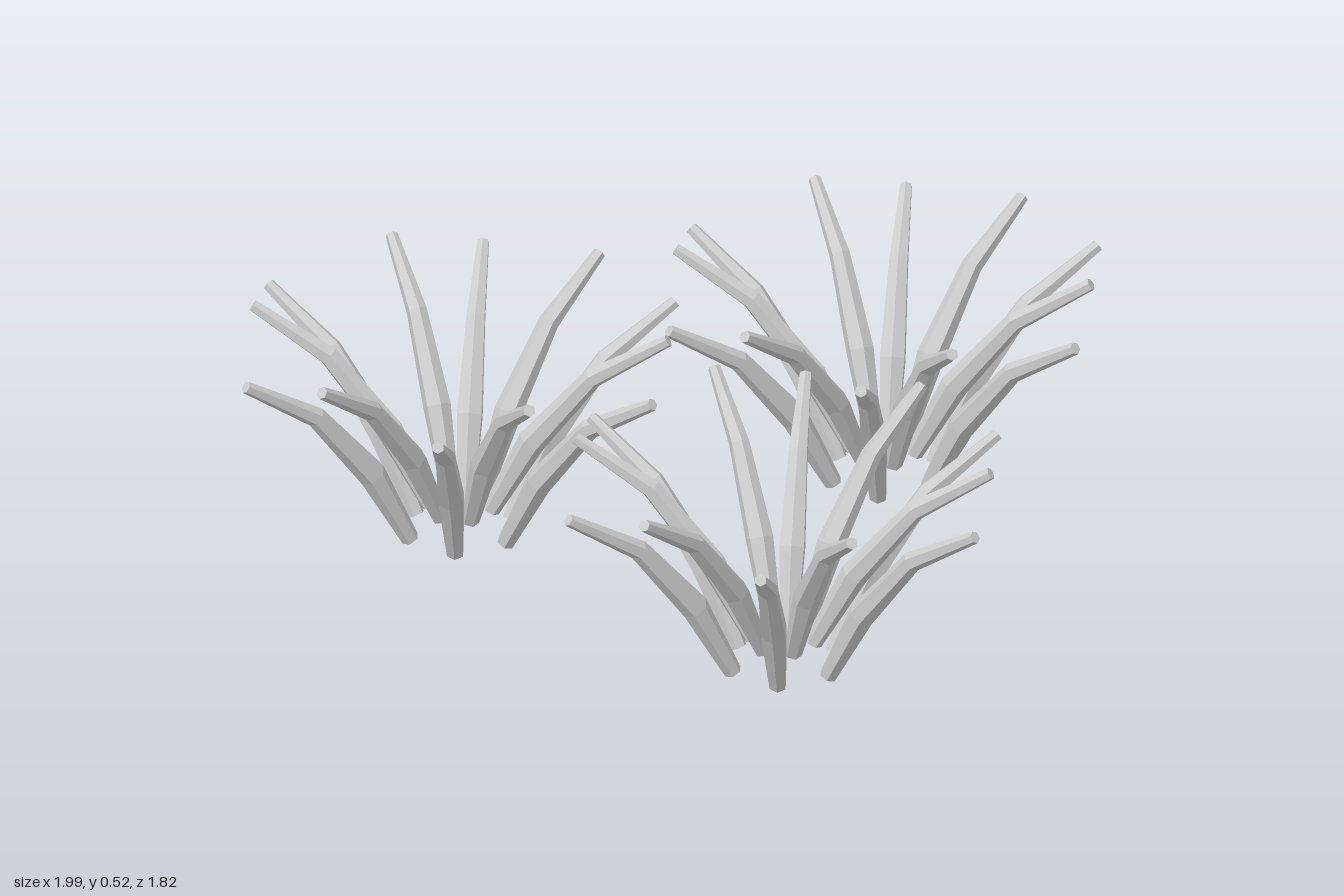
import * as THREE from 'three';

// Blade rings from root to tip: distance from tuft centre, height, radius
const RINGS = [
  [0.12, 0.012, 0.020],
  [0.21, 0.185, 0.031],
  [0.345, 0.352, 0.023],
  [0.513, 0.458, 0.014],
];
const SIDES = 6;

// A tapered six-sided blade bending outward along +x
function bladeGeometry() {
  const last = RINGS.length - 1;
  const geo = new THREE.CylinderGeometry(1, 1, 1, SIDES, last, false, Math.PI / 2);
  const pos = geo.attributes.position;
  for (let i = 0; i < pos.count; i++) {
    const k = Math.round((pos.getY(i) + 0.5) * last);
    const [r, y, radius] = RINGS[k];
    const a = RINGS[Math.max(k - 1, 0)];
    const b = RINGS[Math.min(k + 1, last)];
    const t = new THREE.Vector2(b[0] - a[0], b[1] - a[1]).normalize();
    const across = pos.getX(i) * radius;
    pos.setXYZ(i, r + t.y * across, y - t.x * across, pos.getZ(i) * radius);
  }
  geo.computeVertexNormals();
  return geo;
}

export function createModel() {
  const model = new THREE.Group();
  model.name = 'grassPatch';
  const material = new THREE.MeshStandardMaterial({ color: 0xcccccc, flatShading: true });
  const geo = bladeGeometry();

  // Six blades evenly spaced; shift moves them inward, lift raises them
  function addRing(tuft, name, turn, shift, lift) {
    for (let i = 0; i < 6; i++) {
      const angle = turn + (i * Math.PI) / 3;
      const blade = new THREE.Mesh(geo, material);
      blade.name = name;
      blade.rotation.y = angle;
      blade.position.set(-shift * Math.cos(angle), lift, shift * Math.sin(angle));
      tuft.add(blade);
    }
  }

  // Three identical tufts
  for (const [x, z] of [[-0.476, -0.444], [0.476, -0.316], [-0.11, 0.444]]) {
    const tuft = new THREE.Group();
    tuft.name = 'grassTuft';
    addRing(tuft, 'outerBlade', 0, 0, 0);
    addRing(tuft, 'innerBlade', THREE.MathUtils.degToRad(24.5), 0.053, 0.052);
    tuft.position.set(x, 0, z);
    model.add(tuft);
  }
  return model;
}
